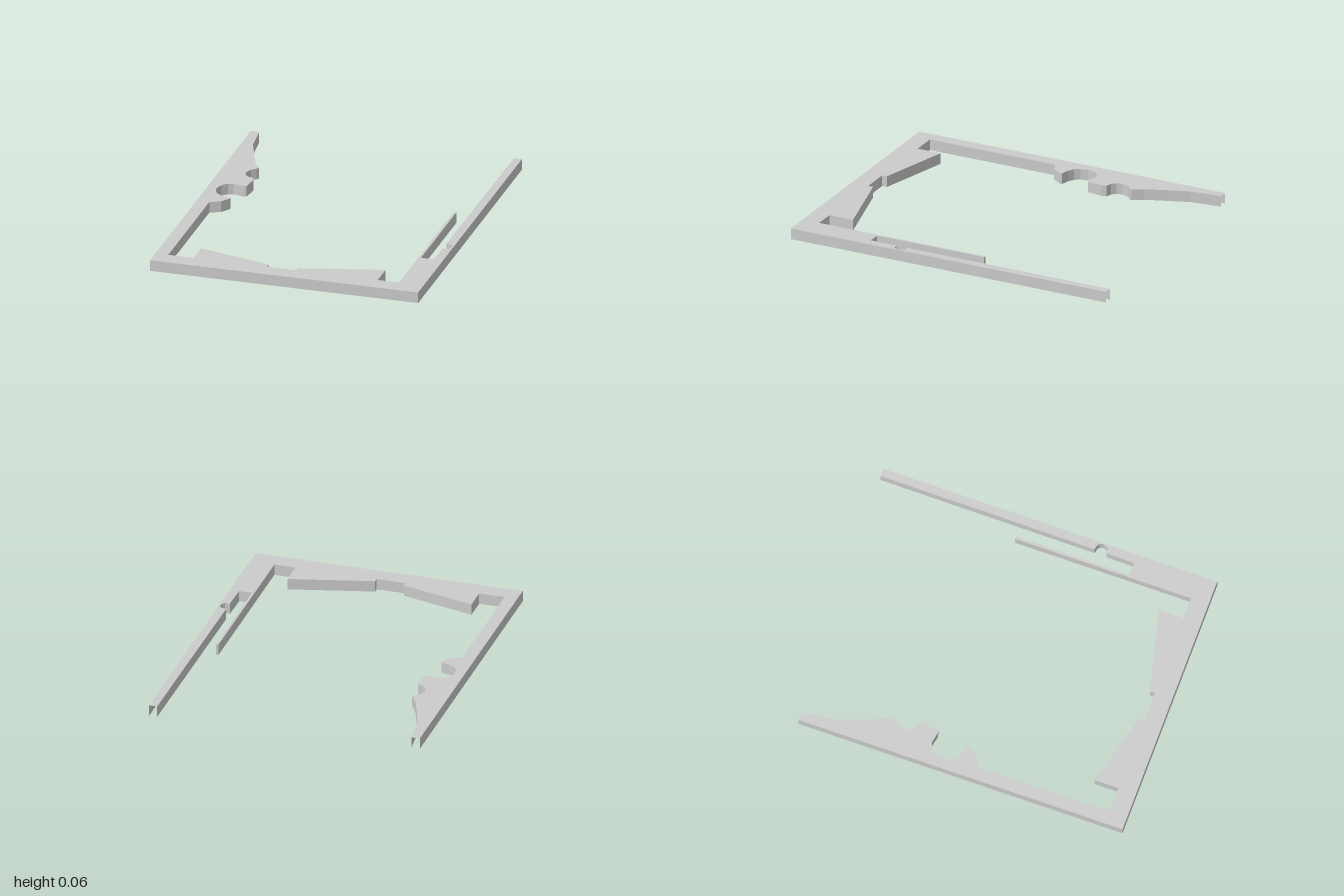
import * as THREE from 'three';

const HEIGHT = 0.065;

// Plan outlines as [x, z]; the shell is open below and at the two back ends.
const outer = [[-0.79, -0.94], [-0.79, 1], [0.79, 1], [0.79, -1]];

const carvedRail = [
  [-0.74, -0.94], [-0.72, -0.755], [-0.675, -0.63], [-0.63, -0.51], [-0.59, -0.445],
  [-0.6, -0.432], [-0.625, -0.41], [-0.642, -0.365], [-0.633, -0.33], [-0.61, -0.307],
  [-0.577, -0.298], [-0.57, -0.27], [-0.582, -0.178], [-0.6, -0.175], [-0.66, -0.187],
  [-0.69, -0.178], [-0.72, -0.15], [-0.734, -0.1], [-0.725, -0.055], [-0.705, -0.025],
  [-0.67, -0.005], [-0.62, 0.008], [-0.62, 0.025], [-0.655, 0.075], [-0.715, 0.105],
];
const frontBar = [
  [-0.715, 0.895], [-0.565, 0.895], [-0.565, 0.75], [-0.13, 0.865], [-0.13, 0.895],
  [0.04, 0.895], [0.04, 0.865], [0.52, 0.745], [0.52, 0.895], [0.645, 0.895],
];
const slottedRail = [
  [0.645, -0.16], [0.66, -0.16], [0.66, 0.52], [0.735, 0.52], [0.738, 0.355],
  [0.765, 0.352], [0.779, 0.338], [0.783, 0.32], [0.779, 0.302], [0.765, 0.289],
  [0.738, 0.283], [0.743, -1],
];
const inner = [...carvedRail, ...frontBar, ...slottedRail].reverse();

// Upright strip along a chain of plan points, one flat quad per segment
function wall(name, chain, material) {
  const positions = [];
  for (let i = 0; i < chain.length - 1; i++) {
    const [ax, az] = chain[i];
    const [bx, bz] = chain[i + 1];
    positions.push(ax, 0, az, bx, 0, bz, bx, HEIGHT, bz);
    positions.push(ax, 0, az, bx, HEIGHT, bz, ax, HEIGHT, az);
  }
  const geometry = new THREE.BufferGeometry();
  geometry.setAttribute('position', new THREE.Float32BufferAttribute(positions, 3));
  geometry.computeVertexNormals();
  const mesh = new THREE.Mesh(geometry, material);
  mesh.name = name;
  return mesh;
}

export function createModel() {
  const group = new THREE.Group();
  group.name = 'openFrame';
  const material = new THREE.MeshStandardMaterial({
    color: 0xcccccc, flatShading: true, side: THREE.DoubleSide,
  });

  // Flat top panel
  const shape = new THREE.Shape([...outer, ...inner].map(([x, z]) => new THREE.Vector2(x, -z)));
  const topGeometry = new THREE.ShapeGeometry(shape);
  topGeometry.rotateX(-Math.PI / 2);
  topGeometry.translate(0, HEIGHT, 0);
  const top = new THREE.Mesh(topGeometry, material);
  top.name = 'topPanel';

  // Thin side walls
  group.add(top, wall('outerWall', outer, material), wall('innerWall', inner, material));
  return group;
}
